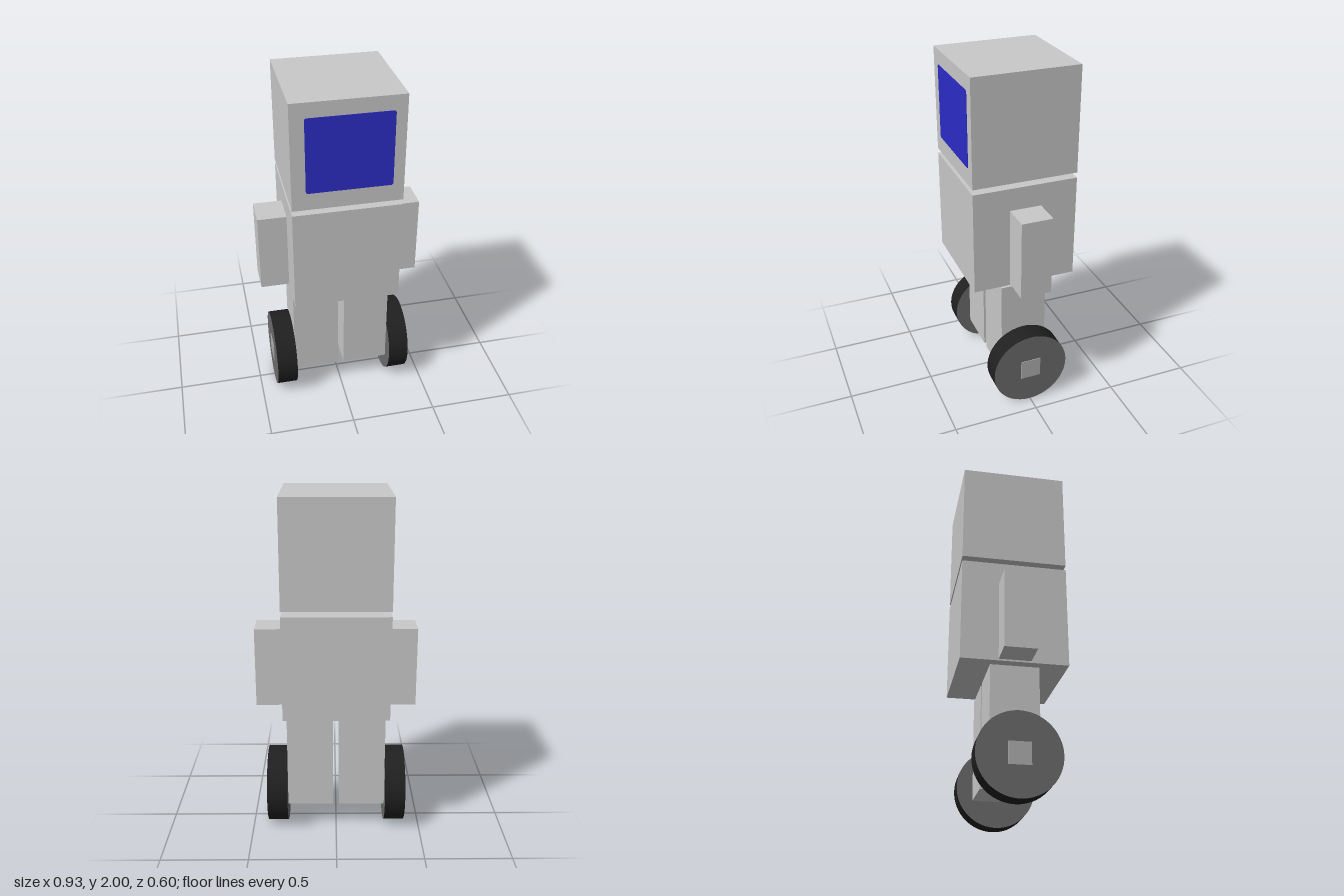
import * as THREE from 'three';

const material = (name, color, extra = {}) => {
  const m = new THREE.MeshStandardMaterial({ color, ...extra });
  m.name = name;
  return m;
};

export function createModel() {
  const model = new THREE.Group();
  model.name = 'wheeledRobot';

  const shell = material('light grey shell', 0xc9c9c9);
  const screenBlue = material('screen blue', 0x2c2cc8);
  const tread = material('black tread', 0x202020, { flatShading: true });
  const disc = material('dark grey disc', 0x6c6c6c);
  const hubGrey = material('hub grey', 0xb0b0b0);

  const add = (name, geometry, mat, x, y, z, parent = model) => {
    const mesh = new THREE.Mesh(geometry, mat);
    mesh.name = name;
    mesh.position.set(x, y, z);
    parent.add(mesh);
    return mesh;
  };
  const box = (name, w, h, d, mat, x, y, z, parent) =>
    add(name, new THREE.BoxGeometry(w, h, d), mat, x, y, z, parent);

  // Head and torso: equal cubes with a narrow gap
  box('head', 0.6, 0.6, 0.6, shell, 0, 1.7, 0);
  box('torso', 0.6, 0.6, 0.6, shell, 0, 1.07, 0);

  // Face screen: thin plate with slightly rounded corners
  const w = 0.232, h = 0.21, r = 0.012;
  const outline = new THREE.Shape();
  outline.absarc(w - r, h - r, r, 0, Math.PI / 2);
  outline.absarc(-w + r, h - r, r, Math.PI / 2, Math.PI);
  outline.absarc(-w + r, -h + r, r, Math.PI, Math.PI * 1.5);
  outline.absarc(w - r, -h + r, r, Math.PI * 1.5, Math.PI * 2);
  const plate = new THREE.ExtrudeGeometry(outline, { depth: 0.004, bevelEnabled: false, curveSegments: 6 });
  add('faceScreen', plate, screenBlue, 0.008, 1.708, 0.299);

  for (const [side, s] of [['left', 1], ['right', -1]]) {
    box(side + 'Arm', 0.18, 0.46, 0.18, shell, s * 0.373, 1.01, 0);
    box(side + 'Leg', 0.27, 0.6, 0.27, shell, s * 0.153, 0.45, 0);

    // Wheel: black tread, grey faces and a square hub on the outside
    const wheel = new THREE.Group();
    wheel.name = side + 'Wheel';
    wheel.position.set(s * 0.348, 0.228, 0);
    model.add(wheel);
    const tyre = add('tyre', new THREE.CylinderGeometry(0.226, 0.226, 0.12, 64), [tread, disc, disc], 0, 0, 0, wheel);
    tyre.rotation.z = -s * Math.PI / 2;
    box('hub', 0.02, 0.12, 0.12, hubGrey, s * 0.054, 0.002, 0, wheel);
  }

  return model;
}
